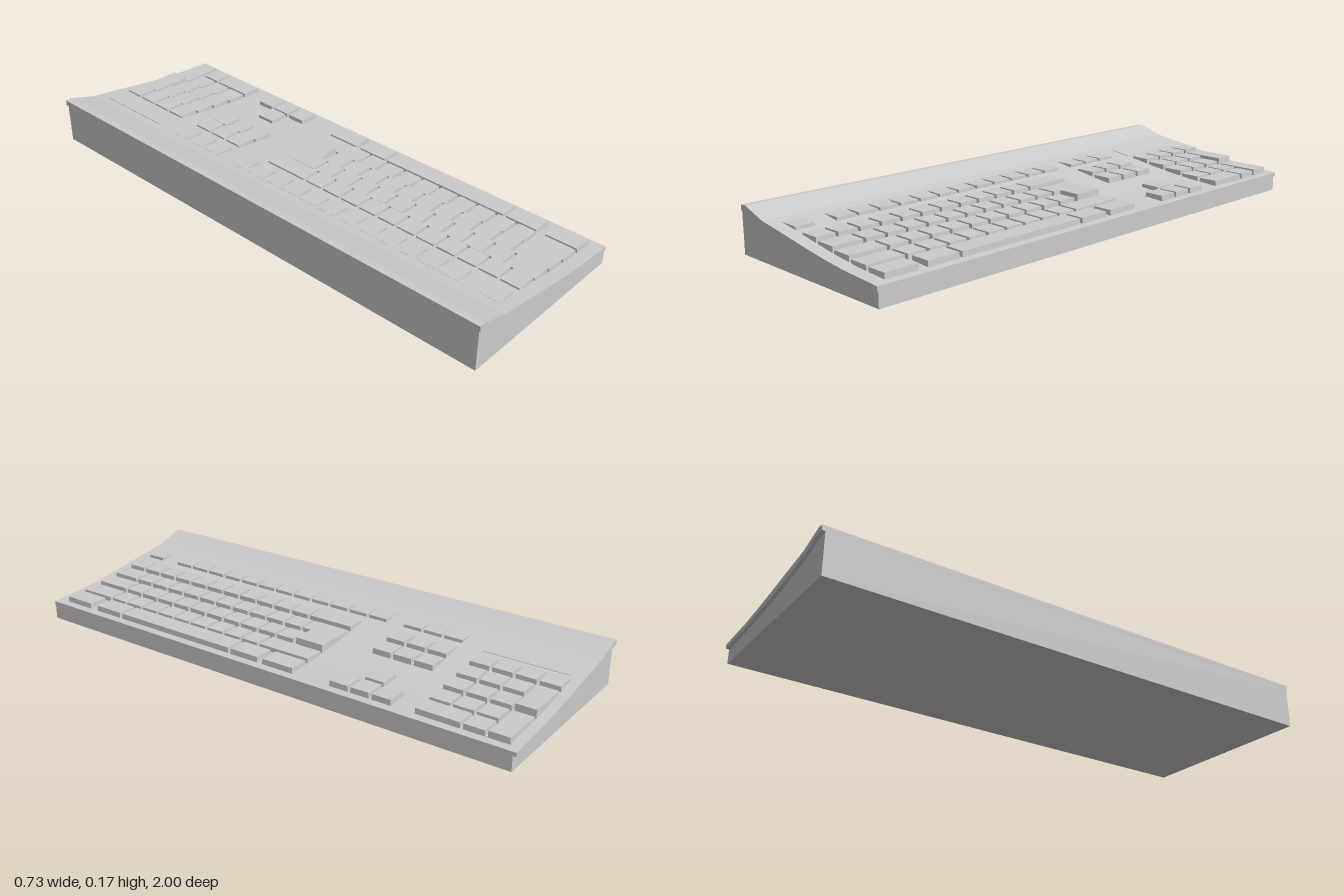
import * as THREE from 'three';

const material = new THREE.MeshStandardMaterial({ color: 0xcccccc, flatShading: true });

// Side profiles (x, y), from the back edge to the typist's edge at +x
const DECK = [[-0.365, 0.171], [-0.34, 0.173], [-0.32, 0.166], [-0.24, 0.141], [-0.19, 0.133], [-0.1, 0.12],
  [0, 0.104], [0.1, 0.09], [0.2, 0.079], [0.3, 0.073], [0.362, 0.069]];
const SEAM = [[-0.365, 0.152], [-0.32, 0.146], [-0.28, 0.13], [-0.23, 0.117], [-0.1, 0.094],
  [0.03, 0.078], [0.17, 0.062], [0.28, 0.055], [0.362, 0.054]];

// Key rows from back to typist: back edge, near edge, top height
const ROWS = [
  [-0.2, -0.122, 0.135], [-0.088, -0.01, 0.124], [-0.002, 0.077, 0.114],
  [0.083, 0.162, 0.104], [0.168, 0.247, 0.094], [0.255, 0.334, 0.091],
];
const GAP = 0.008;

// Extrudes a side profile along z
function slab(name, points, z0, z1) {
  const shape = new THREE.Shape(points.map(([x, y]) => new THREE.Vector2(x, y)));
  const geometry = new THREE.ExtrudeGeometry(shape, { depth: z1 - z0, bevelEnabled: false });
  geometry.translate(0, 0, z0);
  const mesh = new THREE.Mesh(geometry, material);
  mesh.name = name;
  return mesh;
}

// Level-topped key with slightly tapered sides
function makeKey(x0, x1, z0, z1, top) {
  const h = 0.035, w = x1 - x0, d = z1 - z0, inset = 0.004;
  const geometry = new THREE.BoxGeometry(w, h, d);
  const p = geometry.attributes.position;
  for (let i = 0; i < p.count; i++) {
    if (p.getY(i) < 0) continue;
    p.setX(i, p.getX(i) * (1 - inset / w));
    p.setZ(i, p.getZ(i) * (1 - inset / d));
  }
  geometry.computeVertexNormals();
  const mesh = new THREE.Mesh(geometry, material);
  mesh.name = 'key';
  mesh.position.set((x0 + x1) / 2, top - h / 2, (z0 + z1) / 2);
  return mesh;
}

// Adds one key running from zLeft down to zRight, optionally reaching a nearer row
function put(group, row, zLeft, zRight, lastRow = row) {
  group.add(makeKey(ROWS[row][0], ROWS[lastRow][1], zRight, zLeft, ROWS[row][2]));
}

// Fills the span from zLeft down to zRight with equal keys
function run(group, row, zLeft, zRight, count) {
  const pitch = (zLeft - zRight + GAP) / count;
  for (let i = 0; i < count; i++) {
    const z = zLeft - i * pitch;
    put(group, row, z, z - pitch + GAP);
  }
}

export function createModel() {
  const model = new THREE.Group();
  model.name = 'keyboard';
  const section = (name) => {
    const group = new THREE.Group();
    group.name = name;
    model.add(group);
    return group;
  };

  // Case: lower base and overhanging top cover
  model.add(slab('base', [[-0.365, 0], [0.362, 0], ...SEAM.slice().reverse()], -0.988, 0.997));
  model.add(slab('topCover', [...SEAM, ...DECK.slice().reverse()], -1, 1));

  // Thin status panel behind the number pad, following the deck slope
  model.add(slab('statusPanel',
    [[-0.195, 0.125], [-0.11, 0.115], [-0.11, 0.123], [-0.19, 0.1345], [-0.195, 0.1355]], -0.95, -0.63));

  // Top row: escape key, twelve command keys, three system keys
  const top = section('topRowKeys');
  put(top, 0, 0.953, 0.877);
  run(top, 0, 0.797, -0.232, 12);
  run(top, 0, -0.303, -0.545, 3);

  // Main block, row by row
  const main = section('mainKeys');
  run(main, 1, 0.953, 0.039, 11);
  put(main, 1, 0.031, -0.152);
  put(main, 2, 0.953, 0.836);
  run(main, 2, 0.828, 0.006, 10);
  put(main, 3, 0.953, 0.81);
  run(main, 3, 0.802, -0.024, 10);
  put(main, 4, 0.953, 0.807);
  run(main, 4, 0.799, 0.07, 9);
  put(main, 4, 0.062, -0.152);
  for (const [a, b] of [[0.953, 0.825], [0.793, 0.667], [0.658, 0.132], [0.123, 0], [-0.02, -0.152]]) {
    put(main, 5, a, b);
  }

  // L-shaped return key: short rear bar and a block over two rows
  const returnKey = section('returnKey');
  put(returnKey, 2, -0.002, -0.06);
  put(returnKey, 2, -0.036, -0.152, 3);

  // Navigation and arrow clusters
  const navigation = section('navigationKeys');
  for (const row of [1, 2]) run(navigation, row, -0.303, -0.545, 3);
  const arrows = section('arrowKeys');
  put(arrows, 4, -0.386, -0.462);
  run(arrows, 5, -0.303, -0.545, 3);

  // Number pad, with two double-height keys and a wide zero
  const pad = section('numberPad');
  run(pad, 1, -0.632, -0.965, 4);
  for (const row of [2, 3, 4]) run(pad, row, -0.632, -0.88, 3);
  put(pad, 2, -0.888, -0.965, 3);
  put(pad, 4, -0.888, -0.965, 5);
  put(pad, 5, -0.632, -0.795);
  put(pad, 5, -0.803, -0.88);

  return model;
}
